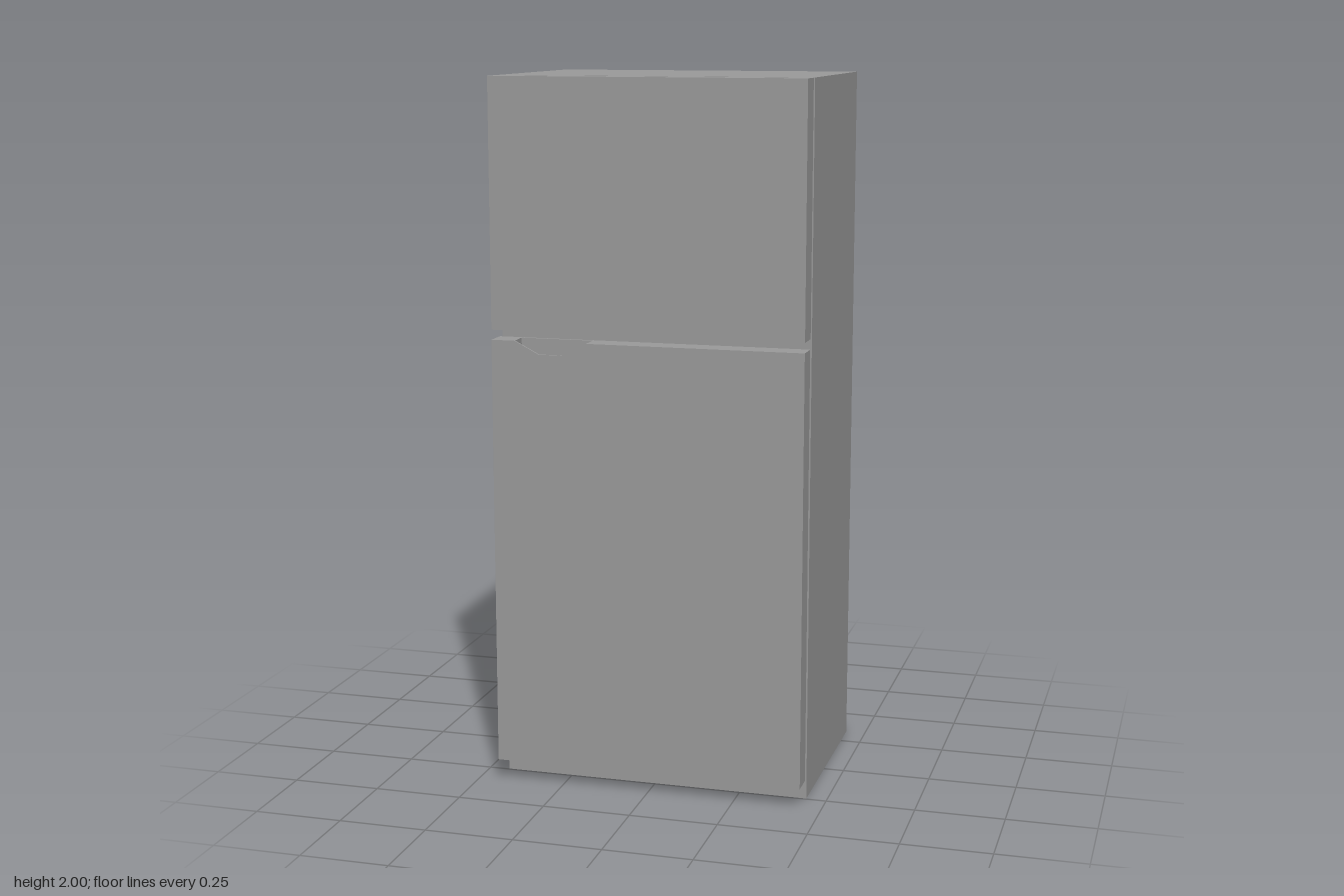
import * as THREE from 'three';

const HALF_W = 0.4425;
const BACK = -0.335, FACE = 0.246; // cabinet back and front planes
const material = new THREE.MeshStandardMaterial({ color: 0x9b9b9b });
const thin = new THREE.MeshStandardMaterial({ color: 0x9b9b9b, side: THREE.DoubleSide });

function add(group, name, geometry, mat = material) {
  const mesh = new THREE.Mesh(geometry, mat);
  mesh.name = name;
  group.add(mesh);
}

// Box given by its limits, symmetric in x
function block(halfW, y0, y1, z0, z1) {
  return new THREE.BoxGeometry(2 * halfW, y1 - y0, z1 - z0)
    .translate(0, (y0 + y1) / 2, (z0 + z1) / 2);
}

// Removes faces of a box (0 +x, 1 -x, 2 +y, 3 -y, 4 +z, 5 -z)
function openBox(geometry, removed) {
  const index = Array.from(geometry.index.array);
  geometry.setIndex(index.filter((_, i) => !removed.includes(Math.floor(i / 6))));
  geometry.clearGroups();
  return geometry;
}

function rectangle(target, halfW, y0, y1) {
  target.moveTo(-halfW, y0);
  target.lineTo(halfW, y0);
  target.lineTo(halfW, y1);
  target.lineTo(-halfW, y1);
  target.closePath();
  return target;
}

function extrude(shape, z0, z1) {
  return new THREE.ExtrudeGeometry(shape, { depth: z1 - z0, bevelEnabled: false }).translate(0, 0, z0);
}

export function createModel() {
  const model = new THREE.Group();
  model.name = 'refrigerator';

  const compartments = [
    { name: 'fridge', y0: 0.083, y1: 1.263, back: -0.313, sealW: 0.42, seal0: 0.08, seal1: 1.253, doorBack: 0.267 },
    { name: 'freezer', y0: 1.353, y1: 1.964, back: -0.238, sealW: 0.415, seal0: 1.342, seal1: 1.97, doorBack: 0.263 },
  ];

  // Sheet cabinet: sides and top, open at the back and bottom
  add(model, 'cabinetShell', openBox(block(HALF_W, 0, 2, BACK, FACE), [3, 4, 5]), thin);

  // Front frame with one opening per compartment
  const frame = rectangle(new THREE.Shape(), HALF_W, 0, 2);
  for (const c of compartments) frame.holes.push(rectangle(new THREE.Path(), 0.4, c.y0, c.y1));
  add(model, 'frontFrame', new THREE.ShapeGeometry(frame).translate(0, 0, FACE), thin);

  // Inner liners and door seals
  for (const c of compartments) {
    add(model, c.name + 'Liner', openBox(block(0.4, c.y0, c.y1, c.back, FACE), [4]), thin);
    const ring = rectangle(new THREE.Shape(), c.sealW, c.seal0, c.seal1);
    ring.holes.push(rectangle(new THREE.Path(), c.sealW - 0.04, c.seal0 + 0.04, c.seal1 - 0.04));
    add(model, c.name + 'Seal', extrude(ring, FACE, c.doorBack));
  }

  // Freezer door
  add(model, 'freezerDoor', block(HALF_W, 1.308, 2, 0.263, 0.3335));

  // Fridge door: back slab, layer with a deep grip pocket, thin front with a shallow notch
  const door = new THREE.Group();
  door.name = 'fridgeDoor';
  model.add(door);
  const layers = [
    { name: 'doorBackSlab', z0: 0.267, z1: 0.276, notch: [] },
    { name: 'doorGripPocket', z0: 0.276, z1: 0.329, notch: [[-0.168, 1.28], [-0.168, 1.2], [-0.375, 1.2], [-0.375, 1.28]] },
    { name: 'doorFront', z0: 0.329, z1: 0.335, notch: [[-0.168, 1.28], [-0.238, 1.244], [-0.305, 1.244], [-0.375, 1.28]] },
  ];
  for (const { name, z0, z1, notch } of layers) {
    const outline = [[-HALF_W, 0.06], [HALF_W, 0.06], [HALF_W, 1.28], ...notch, [-HALF_W, 1.28]];
    add(door, name, extrude(new THREE.Shape(outline.map(([x, y]) => new THREE.Vector2(x, y))), z0, z1));
  }

  return model;
}
